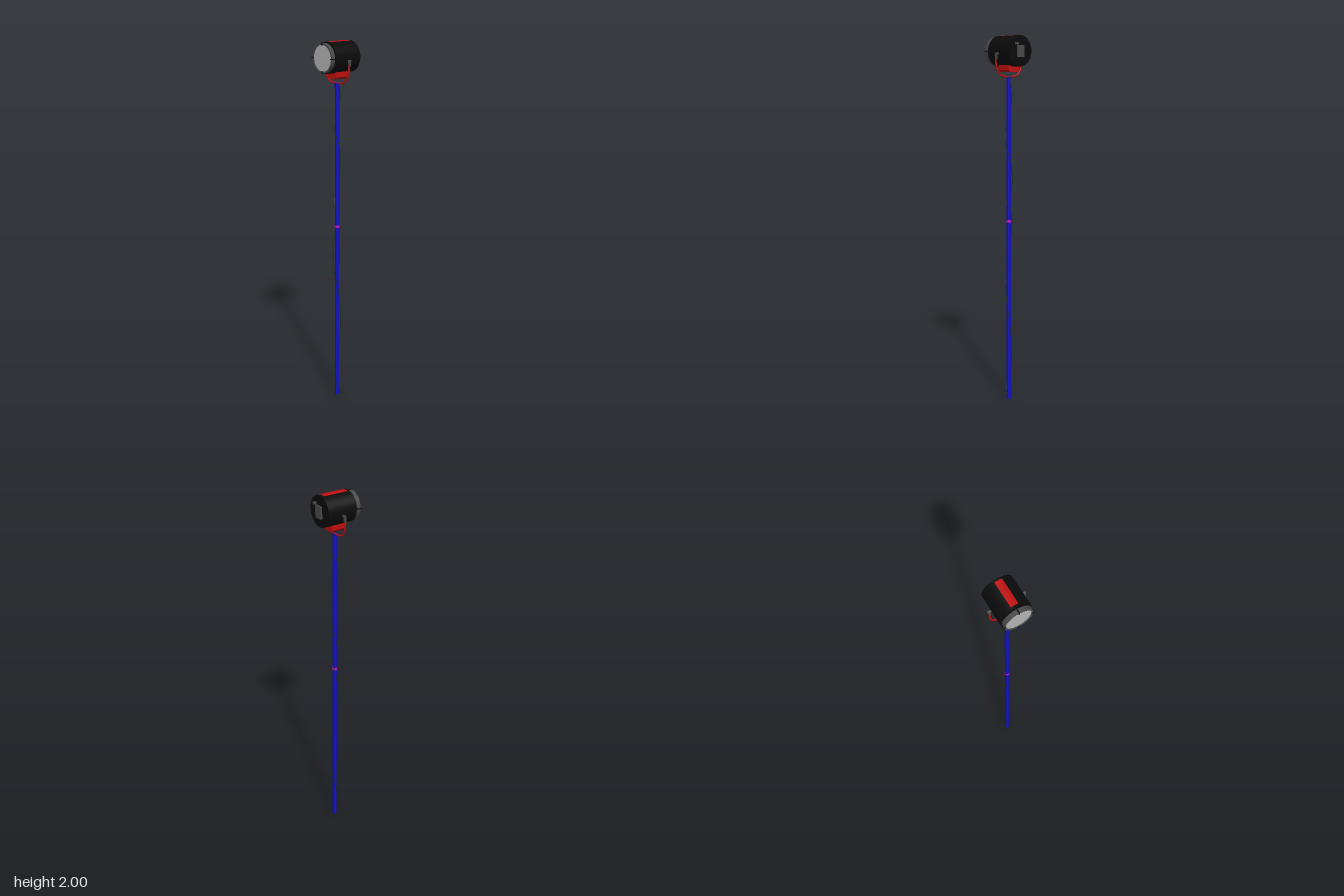
import * as THREE from 'three';

const LAMP_Y = 1.92;
const mat = (color, extra = {}) => new THREE.MeshStandardMaterial({ color, ...extra });

export function createModel() {
  const model = new THREE.Group();
  model.name = 'spotlightOnPole';
  const black = mat(0x0b0b0b), red = mat(0xc01010), blue = mat(0x1010c0);
  const grey = mat(0x4a4a4a), magenta = mat(0xc010c0), green = mat(0x10300f);
  const lensMat = mat(0xb4b4b4);

  const add = (name, geometry, material, x = 0, y = 0, z = 0, parent = model) => {
    const mesh = new THREE.Mesh(geometry, material);
    mesh.name = name;
    mesh.position.set(x, y, z);
    parent.add(mesh);
    return mesh;
  };
  const box = (w, h, d) => new THREE.BoxGeometry(w, h, d);
  const barrel = (r, z0, z1) =>
    new THREE.CylinderGeometry(r, r, z1 - z0, 48).rotateX(Math.PI / 2).translate(0, 0, (z0 + z1) / 2);

  // Pole with its joint collar
  add('pole', new THREE.CylinderGeometry(0.012, 0.012, 1.79, 24), blue, 0, 0.895, 0);
  add('poleCollar', new THREE.CylinderGeometry(0.0135, 0.0135, 0.014, 24), magenta, 0, 1.015, 0);

  // Lamp head
  const lamp = new THREE.Group();
  lamp.name = 'lampHead';
  lamp.position.y = LAMP_Y;
  model.add(lamp);
  add('housing', barrel(0.08, -0.088, 0.075), black, 0, 0, 0, lamp);
  add('neck', barrel(0.068, 0.075, 0.085), black, 0, 0, 0, lamp);
  const rim = [[0.066, 0.08], [0.075, 0.08], [0.075, 0.101], [0.067, 0.101], [0.066, 0.08]];
  // Each profile span is lathed separately so the rim edges stay sharp
  for (let i = 0; i < 4; i++) {
    const pts = [rim[i], rim[i + 1]].map(([r, z]) => new THREE.Vector2(r, z));
    add('lensRim', new THREE.LatheGeometry(pts, 48).rotateX(Math.PI / 2),
      mat(0x4a4a4a, { side: THREE.DoubleSide }), 0, 0, 0, lamp);
  }
  add('lens', barrel(0.067, 0.084, 0.097), lensMat, 0, 0, 0, lamp);

  // Clips holding the lens rim
  for (let i = 0; i < 4; i++) {
    const arm = new THREE.Group();
    arm.name = 'lensClip';
    arm.rotation.z = i * Math.PI / 2;
    lamp.add(arm);
    add('clipBar', box(0.005, 0.005, 0.037), black, 0, 0.0755, 0.0855, arm);
    add('clipHook', box(0.005, 0.013, 0.003), black, 0, 0.0705, 0.1025, arm);
  }

  // Curved red stripe along the top
  const stripe = new THREE.CylinderGeometry(0.081, 0.081, 0.139, 12, 1, true, Math.PI - 0.242, 0.484);
  add('topStripe', stripe.rotateX(Math.PI / 2), mat(0xc01010, { side: THREE.DoubleSide }), 0, 0, -0.0075, lamp);

  // Red ballast block whose top fits the housing
  const block = new THREE.Shape();
  block.moveTo(-0.036, -0.098);
  block.lineTo(-0.026, -0.108);
  block.lineTo(0.026, -0.108);
  block.lineTo(0.036, -0.098);
  block.lineTo(0.036, -0.07);
  block.absarc(0, 0, 0.0787, -1.096, -2.046, true);
  block.closePath();
  add('bottomBlock', new THREE.ExtrudeGeometry(block, { depth: 0.082, bevelEnabled: false, curveSegments: 12 }),
    red, 0, 0, -0.041, lamp);

  // Rear connector box and lever
  add('rearBox', box(0.046, 0.062, 0.011), grey, 0.001, -0.002, -0.0925, lamp);
  add('rearLever', box(0.012, 0.012, 0.018), grey, 0.031, 0.036, -0.096, lamp);

  // Yoke around the lamp
  const yokePoints = [[-0.09, 1.895], [-0.09, 1.86], [-0.083, 1.825], [-0.062, 1.799], [-0.03, 1.789], [0, 1.788],
    [0.03, 1.789], [0.062, 1.799], [0.083, 1.825], [0.09, 1.86], [0.09, 1.895]]
    .map(([x, y]) => new THREE.Vector3(x, y, 0));
  add('yoke', new THREE.TubeGeometry(new THREE.CatmullRomCurve3(yokePoints), 64, 0.0045, 10), red);

  // Pivot knobs and grey yoke ends
  for (const s of [-1, 1]) {
    add('pivotKnob', new THREE.CylinderGeometry(0.006, 0.006, 0.017, 16).rotateZ(Math.PI / 2),
      grey, s * 0.0885, 1.905, -0.006);
    add('yokeEnd', box(0.009, 0.03, 0.012), grey, s * 0.09, 1.892, -0.002);
  }

  // Loose cable winding down the pole: height, quarter turn, distance from the axis
  const winds = [[1.79, 0, 0.013], [1.7, 0, 0.02], [1.65, 1, 0.019], [1.55, 2, 0.019], [1.44, 3, 0.023],
    [1.32, 4, 0.021], [1.18, 5, 0.016], [1.14, 6, 0.014], [1.115, 7, 0.014], [1.08, 8, 0.015],
    [0.95, 9, 0.021], [0.78, 10, 0.023], [0.61, 11, 0.018], [0.35, 12, 0.021], [0.19, 13, 0.019],
    [0.1, 14, 0.019], [0.04, 15, 0.017], [0.003, 15.5, 0.02]];
  const cablePoints = winds.map(([y, q, r]) => {
    const a = q * Math.PI / 2;
    return new THREE.Vector3(-Math.sin(a) * r, y, -Math.cos(a) * r);
  });
  add('cable', new THREE.TubeGeometry(new THREE.CatmullRomCurve3(cablePoints), 400, 0.0015, 6), green);

  return model;
}
